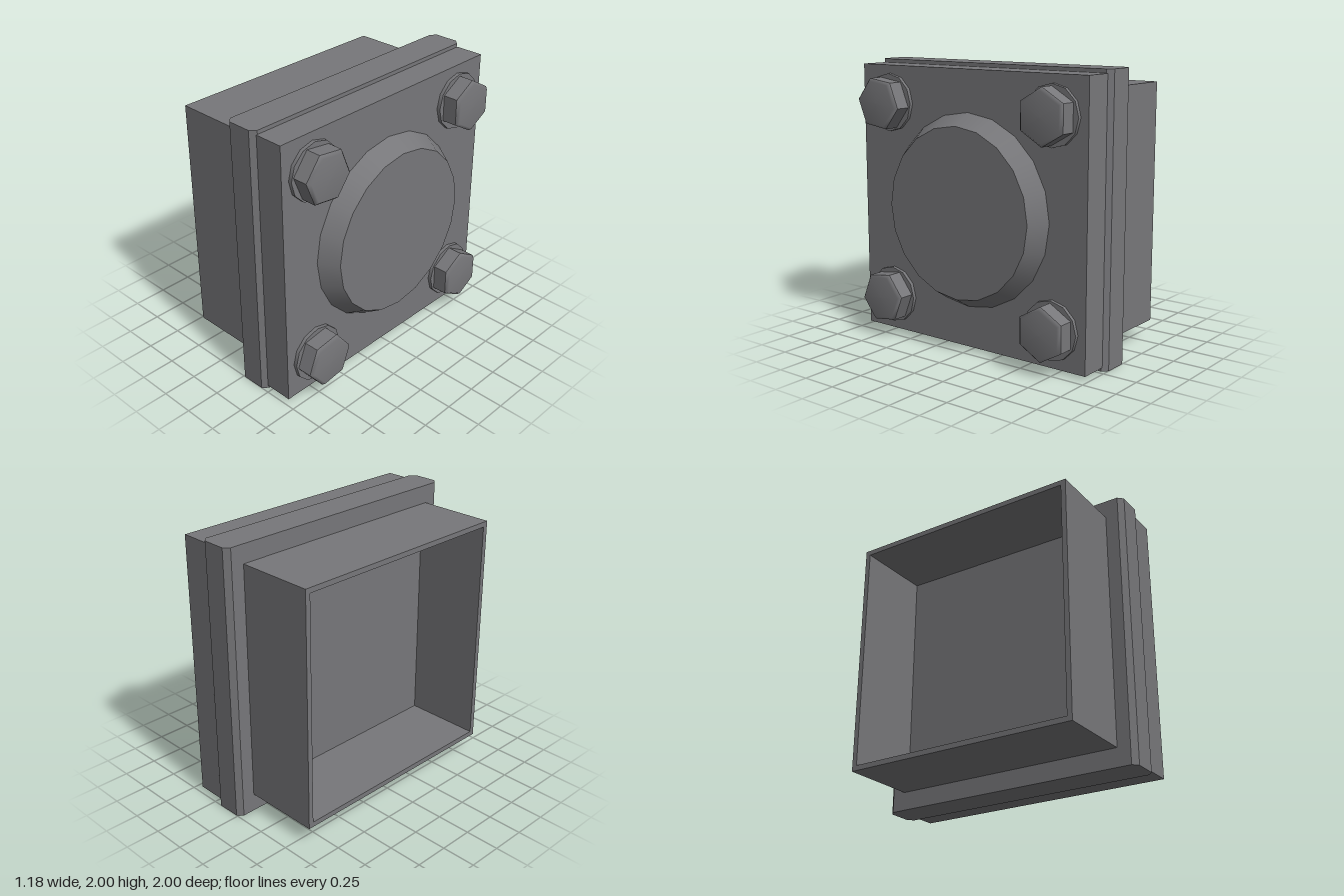
import * as THREE from 'three';

const steel = new THREE.MeshStandardMaterial({ color: 0x77777a });
steel.name = 'grey steel';

function add(parent, name, geometry) {
  const mesh = new THREE.Mesh(geometry, steel);
  mesh.name = name;
  parent.add(mesh);
  return mesh;
}

// Turn a y-axis solid so that it points along +x
const alongX = (geometry) => geometry.rotateZ(-Math.PI / 2);

function rectangle(PathType, half) {
  return new PathType([
    new THREE.Vector2(-half, -half), new THREE.Vector2(half, -half),
    new THREE.Vector2(half, half), new THREE.Vector2(-half, half),
  ]);
}

// Bolt: thin washer, six-sided head and a softly chamfered cap
function createBolt(turn) {
  const bolt = new THREE.Group();
  bolt.name = 'bolt';
  const washer = new THREE.CylinderGeometry(0.206, 0.206, 0.026, 12);
  add(bolt, 'washer', alongX(washer.translate(0, 0.013, 0)));

  const sides = new THREE.CylinderGeometry(0.19, 0.19, 0.108, 6, 1, true, turn)
    .translate(0, 0.08, 0).toNonIndexed();
  sides.computeVertexNormals();
  add(bolt, 'boltHead', alongX(sides));

  const profile = [[0.19, 0.134], [0.168, 0.157], [0, 0.159]]
    .map(([r, h]) => new THREE.Vector2(r, h));
  add(bolt, 'boltCap', alongX(new THREE.LatheGeometry(profile, 6, turn)));
  return bolt;
}

export function createModel() {
  const model = new THREE.Group();
  model.name = 'boltedHousing';

  // Open square box at the back of the flange
  const wall = rectangle(THREE.Shape, 0.867);
  wall.holes.push(rectangle(THREE.Path, 0.83));
  const box = new THREE.ExtrudeGeometry(wall, { depth: 0.57, bevelEnabled: false });
  add(model, 'openBox', box.rotateY(Math.PI / 2)).position.set(-0.595, 1, 0);

  // Flange with its upright edges chamfered
  const x0 = -0.025, x1 = 0.222, c = 0.037;
  const section = new THREE.Shape([
    [x0 + c, -1], [x1 - c, -1], [x1, -1 + c], [x1, 1 - c],
    [x1 - c, 1], [x0 + c, 1], [x0, 1 - c], [x0, -1 + c],
  ].map(([x, z]) => new THREE.Vector2(x, z)));
  const flange = new THREE.ExtrudeGeometry(section, { depth: 2, bevelEnabled: false });
  add(model, 'flange', flange.rotateX(-Math.PI / 2));

  // Cover plate with a raised tapered disc
  add(model, 'coverPlate', new THREE.BoxGeometry(0.208, 1.945, 1.945))
    .position.set(0.326, 1, 0);
  const disc = new THREE.CylinderGeometry(0.6, 0.68, 0.133, 20);
  add(model, 'raisedDisc', alongX(disc)).position.set(0.4965, 1, 0);

  // Four corner bolts, the two at +z turned a little
  for (const sy of [-1, 1]) {
    for (const sz of [-1, 1]) {
      const degrees = sz < 0 ? 30 : -8 * sy;
      const bolt = createBolt(THREE.MathUtils.degToRad(degrees));
      bolt.position.set(0.43, 1 + 0.708 * sy, 0.708 * sz);
      model.add(bolt);
    }
  }
  return model;
}
